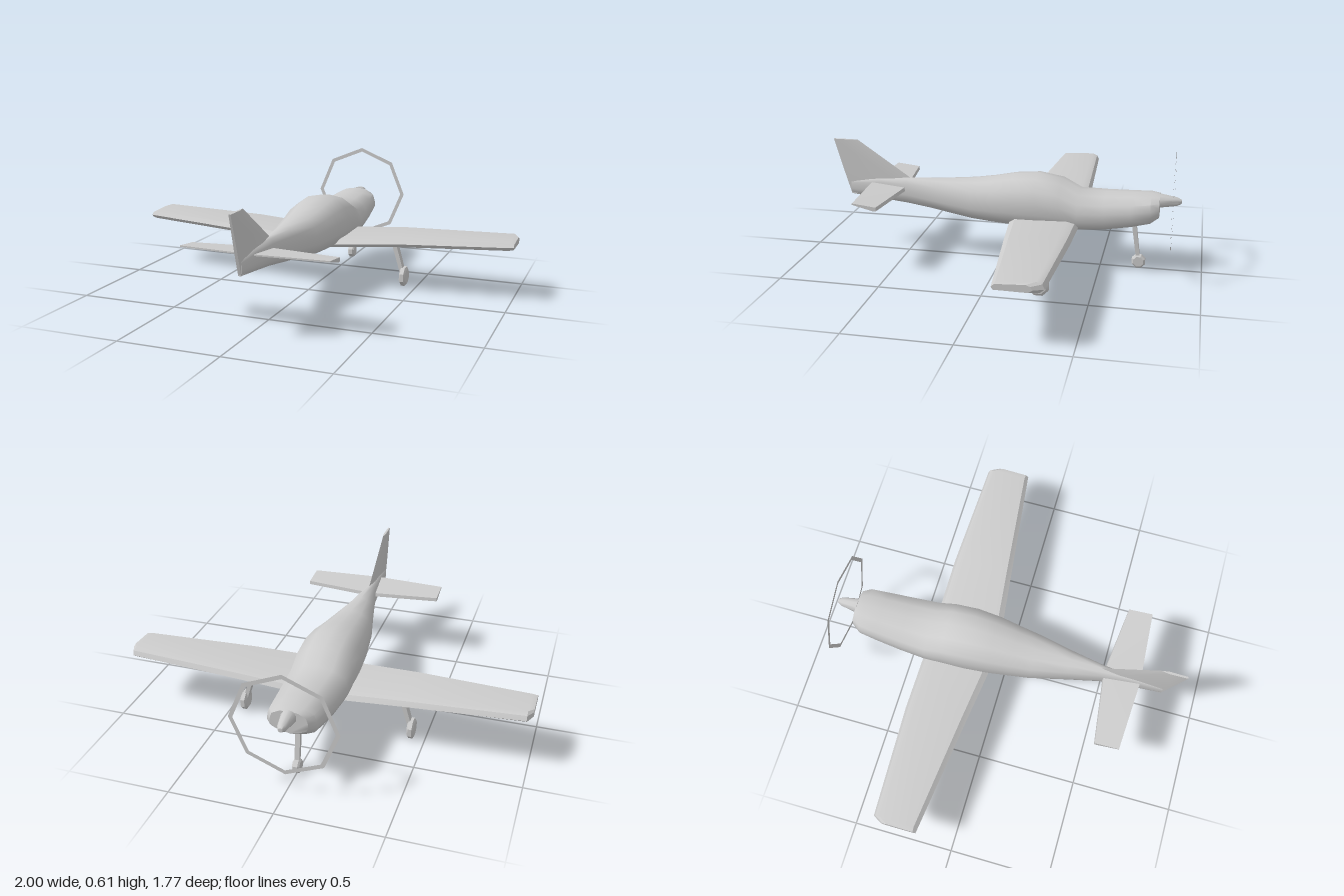
import * as THREE from 'three';
import { toCreasedNormals } from 'three/addons/utils/BufferGeometryUtils.js';

const grey = new THREE.MeshStandardMaterial({ color: 0xcccccc });
const thin = new THREE.MeshStandardMaterial({ color: 0xcccccc, side: THREE.DoubleSide });

function add(parent, name, geometry, material = grey) {
  const mesh = new THREE.Mesh(geometry, material);
  mesh.name = name;
  parent.add(mesh);
  return mesh;
}

// Skin a list of equal-length closed rings of [x, y, z], cap both ends, face outwards
function loft(rings, crease = 0.5) {
  const n = rings[0].length;
  const p = rings.flat();
  const tris = [];
  for (let r = 0; r < rings.length - 1; r++) {
    for (let i = 0; i < n; i++) {
      const a = r * n + i, b = r * n + (i + 1) % n;
      tris.push([a, b, b + n], [a, b + n, a + n]);
    }
  }
  const last = (rings.length - 1) * n;
  for (let i = 1; i < n - 1; i++) {
    tris.push([0, i + 1, i], [last, last + i, last + i + 1]);
  }
  const v = p.map((q) => new THREE.Vector3(...q));
  const volume = tris.reduce((s, [a, b, c]) => s + v[a].dot(v[b].clone().cross(v[c])), 0);
  const geometry = new THREE.BufferGeometry();
  geometry.setAttribute('position', new THREE.Float32BufferAttribute(p.flat(), 3));
  geometry.setIndex(tris.flatMap(([a, b, c]) => (volume < 0 ? [a, c, b] : [a, b, c])));
  return toCreasedNormals(geometry, crease);
}

// Box-section leg between two points, given as rings of half sizes in x and z
function strut(from, to, hx, hz) {
  const ring = ([x, y, z], k) => [[-1, -1], [1, -1], [1, 1], [-1, 1]]
    .map(([a, b]) => [x + a * hx * k, y, z + b * hz * k]);
  return loft([ring(from, 1), ring(to, 0.85)]);
}

// Octagonal wheel with chamfered rims, axle along x, a flat side on the ground
function wheel(radius, width) {
  const profile = [[0, -0.5], [0.75, -0.5], [1, -0.28], [1, 0.28], [0.75, 0.5], [0, 0.5]]
    .map(([r, h]) => new THREE.Vector2(r * radius / Math.cos(Math.PI / 8), h * width));
  const g = new THREE.LatheGeometry(profile, 8, Math.PI / 8).rotateZ(Math.PI / 2);
  return toCreasedNormals(g, 0.5);
}

export function createModel() {
  const model = new THREE.Group();
  model.name = 'lightAircraft';

  // Fuselage: one half outline scaled to each station [z, half width, bottom, top]
  const half = [[0, 0], [0.5, 0.07], [0.88, 0.2], [1, 0.38], [0.97, 0.58], [0.88, 0.79], [0.48, 0.95], [0, 1]];
  const outline = [...half, ...half.slice(1, -1).reverse().map(([u, w]) => [-u, w])];
  const stations = [
    [-0.78, 0.09, 0.275, 0.39], [-0.74, 0.118, 0.245, 0.395], [-0.65, 0.128, 0.222, 0.392],
    [-0.52, 0.14, 0.2, 0.389], [-0.39, 0.15, 0.192, 0.39], [-0.3, 0.152, 0.186, 0.44],
    [-0.18, 0.152, 0.182, 0.462], [-0.06, 0.142, 0.188, 0.452], [0.05, 0.125, 0.195, 0.43],
    [0.15, 0.11, 0.204, 0.415], [0.33, 0.068, 0.232, 0.402], [0.5, 0.032, 0.258, 0.395],
    [0.65, 0.02, 0.274, 0.386], [0.802, 0.01, 0.29, 0.365],
  ];
  add(model, 'fuselage', loft(stations.map(([z, w, lo, hi]) =>
    outline.map(([u, t]) => [u * w, lo + t * (hi - lo), z])), 0.9));

  // Spinner
  const cone = [[0, 0], [0.037, 0], [0.022, 0.085], [0.011, 0.105], [0, 0.107]]
    .map(([r, h]) => new THREE.Vector2(r, h));
  const spinner = add(model, 'spinner',
    toCreasedNormals(new THREE.LatheGeometry(cone, 10).rotateX(-Math.PI / 2), 0.7));
  spinner.position.set(0, 0.358, -0.778);

  // Propeller disc edge: thin octagonal ring
  const ring = add(model, 'propellerRing', new THREE.RingGeometry(0.235, 0.256, 8), thin);
  ring.position.set(0, 0.355, -0.845);

  // Wing section: fraction of chord, fraction of thickness
  const section = [[0, -0.15], [0.05, 0.3], [0.16, 0.5], [0.92, 0.3], [1, -0.1], [0.95, -0.45], [0.1, -0.5]];
  // Span stations: x, leading z, trailing z, middle y, thickness
  const wingStations = [
    [0, -0.4, -0.045, 0.235, 0.05], [0.15, -0.4, -0.06, 0.243, 0.05], [0.42, -0.4, -0.092, 0.262, 0.05],
    [0.975, -0.377, -0.157, 0.28, 0.048], [1, -0.33, -0.16, 0.28, 0.034],
  ];
  // Tail section rises to the rear: fraction of chord, y offset
  const tailSection = [[0, 0.33], [0.02, 0.348], [1, 0.361], [1, 0.354], [0.1, 0.327]];
  const tailStations = [[0, 0.505, 0.688], [0.03, 0.505, 0.686], [0.362, 0.545, 0.666]];

  for (const [side, s] of [['left', 1], ['right', -1]]) {
    add(model, side + 'Wing', loft(wingStations.map(([x, a, b, y, t]) =>
      section.map(([u, w]) => [s * x, y + w * t, a + u * (b - a)]))));

    add(model, side + 'Stabilizer', loft(tailStations.map(([x, a, b]) =>
      tailSection.map(([u, y]) => [s * x, y, a + u * (b - a)]))));

    // Main landing gear
    const gear = new THREE.Group();
    gear.name = side + 'MainGear';
    add(gear, 'leg', strut([s * 0.37, 0.25, -0.26], [s * 0.425, 0.06, -0.26], 0.012, 0.021));
    add(gear, 'wheel', wheel(0.048, 0.034)).position.set(s * 0.43, 0.048, -0.26);
    model.add(gear);
  }

  // Fin: diamond-like thin sections [y, leading z, trailing z, half thickness]
  add(model, 'fin', loft([[0.292, 0.335, 0.8, 0.009], [0.398, 0.49, 0.832, 0.009], [0.579, 0.758, 0.886, 0.006]]
    .map(([y, a, b, t]) => [[0, y, a], [t, y, a + 0.3 * (b - a)], [t * 0.8, y, b],
      [-t * 0.8, y, b], [-t, y, a + 0.3 * (b - a)]])));

  // Nose gear
  const noseGear = new THREE.Group();
  noseGear.name = 'noseGear';
  add(noseGear, 'leg', strut([0, 0.24, -0.66], [0, 0.045, -0.688], 0.013, 0.011));
  add(noseGear, 'wheel', wheel(0.033, 0.036)).position.set(0, 0.036, -0.69);
  model.add(noseGear);

  return model;
}
